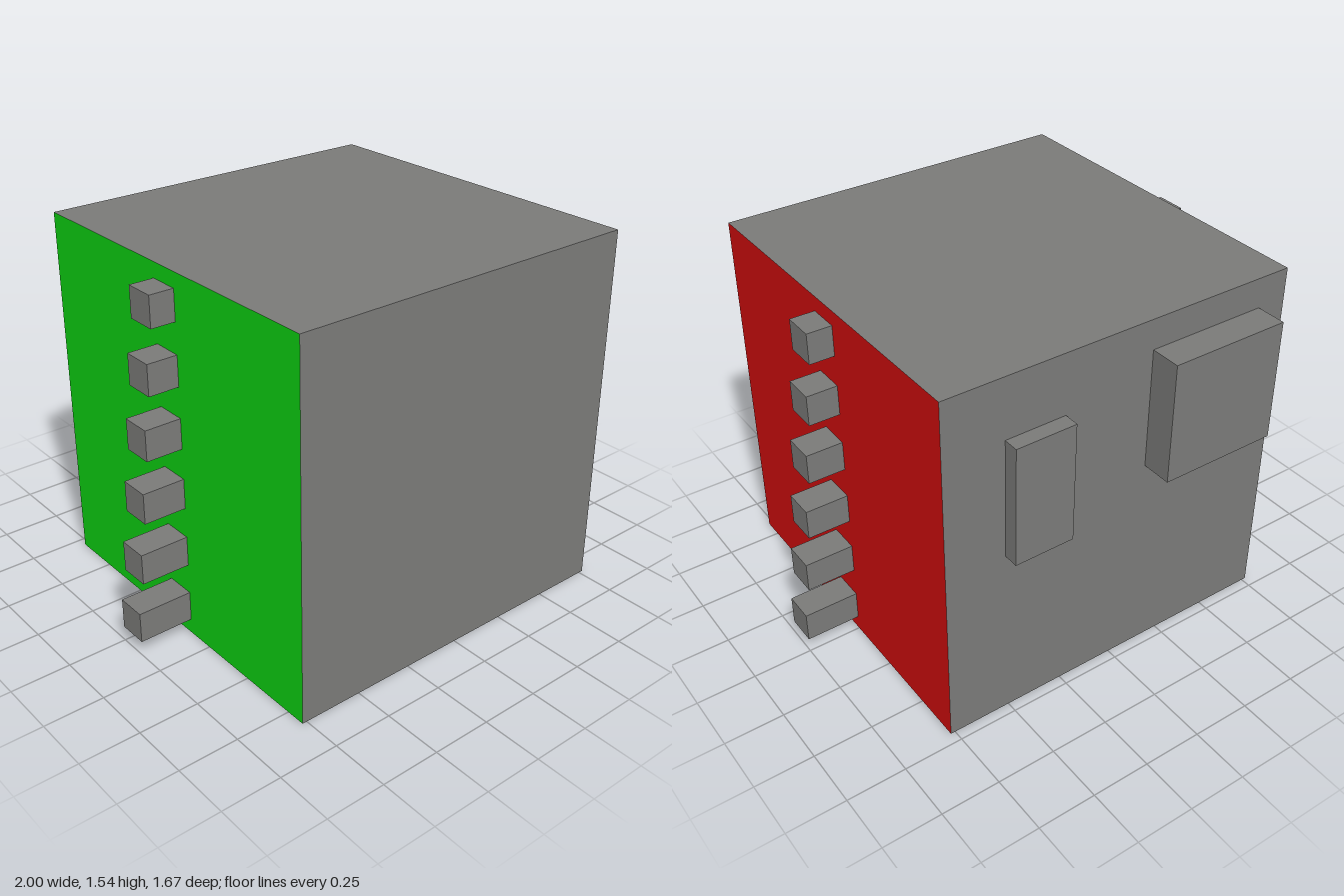
import * as THREE from 'three';

const U = 2 / 15.6; // modelling unit: the body is a cube of 12 units

export function createModel() {
  const model = new THREE.Group();
  model.name = 'cubeWithPegs';

  const material = (name, color) => {
    const m = new THREE.MeshStandardMaterial({ color });
    m.name = name;
    return m;
  };
  const grey = material('grey', 0x7a7a78);
  const red = material('red', 0xce0d0d);
  const green = material('green', 0x0dce11);

  // Box given by its minimum and maximum corners, in units
  const addBox = (name, min, max, mat) => {
    const size = max.map((v, i) => (v - min[i]) * U);
    const mesh = new THREE.Mesh(new THREE.BoxGeometry(...size), mat);
    mesh.position.set(...max.map((v, i) => ((v + min[i]) / 2) * U));
    mesh.name = name;
    model.add(mesh);
  };

  // Body: red left side (+x), green right side (-x)
  addBox('body', [-6, 0, -5.5], [6, 12, 6.5], [red, green, grey, grey, grey, grey]);

  // Side pegs, shorter towards the top
  for (let i = 0; i < 6; i++) {
    const y = 0.5 + 2 * i;
    const end = 7.8 - 0.2 * i;
    addBox(`leftPeg${i + 1}`, [6, y, 0], [end, y + 1, 1], grey);
    addBox(`rightPeg${i + 1}`, [-end, y, 0], [-6, y + 1, 1], grey);
  }

  // Raised panels on the back
  addBox('wideBackPanel', [-5, 7, -6.5], [-1, 11, -5.5], grey);
  addBox('narrowBackPanel', [2, 6, -6], [4, 10, -5.5], grey);

  return model;
}
